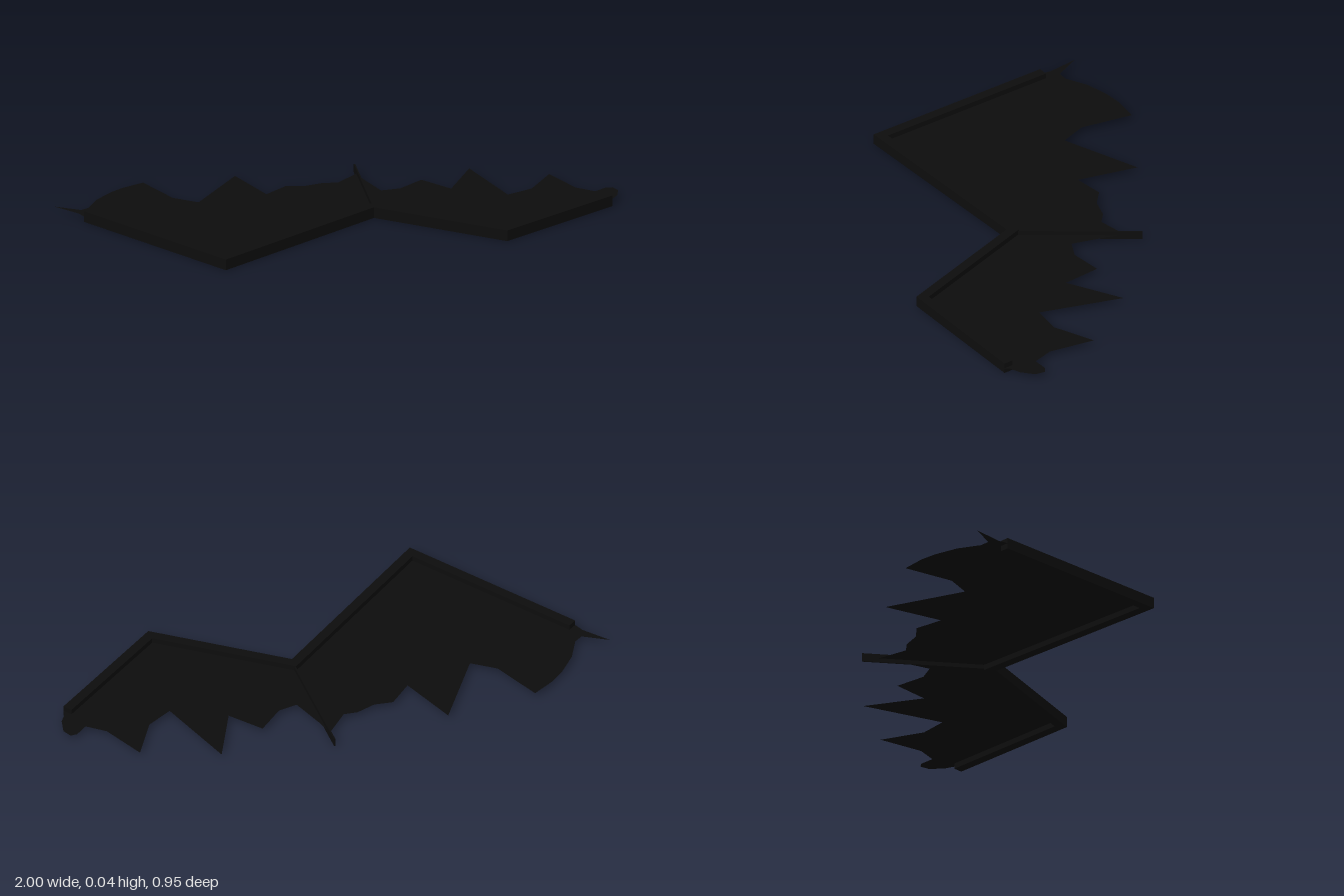
import * as THREE from 'three';

const HEIGHT = 0.04, RAIL = 0.035;

const toShape = (pts) => new THREE.Shape(pts.map(([x, z]) => new THREE.Vector2(x, z)));

// Offset an open x,z path to its back side with mitred corners
function offsetPath(path, d) {
  const normals = path.slice(1).map(([x, z], i) => {
    const dx = x - path[i][0], dz = z - path[i][1], l = Math.hypot(dx, dz);
    return [dz / l, -dx / l];
  });
  return path.map(([x, z], i) => {
    const a = normals[Math.max(i - 1, 0)], b = normals[Math.min(i, normals.length - 1)];
    const k = d / (1 + a[0] * b[0] + a[1] * b[1]);
    return [x + (a[0] + b[0]) * k, z + (a[1] + b[1]) * k];
  });
}

export function createModel() {
  const group = new THREE.Group();
  const black = new THREE.MeshStandardMaterial({ color: 0x0d0d0d, side: THREE.DoubleSide });
  black.name = 'black';

  const add = (name, geometry) => {
    const mesh = new THREE.Mesh(geometry, black);
    mesh.name = name;
    group.add(mesh);
    return mesh;
  };

  // Zigzag front rail
  const front = [[-0.91, -0.11], [-0.49, 0.475], [0.11, 0], [0.54, 0.315], [0.963, 0]];
  const railShape = toShape([...front, ...offsetPath(front, RAIL).reverse()]);
  const rail = new THREE.ExtrudeGeometry(railShape, { depth: HEIGHT, bevelEnabled: false });
  rail.rotateX(Math.PI / 2).translate(0, HEIGHT, 0);
  add('frontRail', rail);

  // Thin torn sheets behind the rail
  const sheets = {
    rightSheet: [
      [0.11, 0], [-0.49, 0.475], [-0.91, -0.11], [-0.925, -0.145], [-1, -0.232], [-0.91, -0.18],
      [-0.88, -0.2], [-0.84, -0.28], [-0.78, -0.35], [-0.73, -0.392], [-0.65, -0.437],
      [-0.57, -0.26], [-0.487, -0.2], [-0.318, -0.46], [-0.237, -0.25], [-0.158, -0.325],
      [-0.09, -0.317], [-0.02, -0.34], [0.03, -0.335], [0.11, -0.42]],
    leftSheet: [
      [0.11, 0], [0.11, -0.42], [0.125, -0.36], [0.17, -0.23], [0.24, -0.242], [0.328, -0.322],
      [0.418, -0.213], [0.513, -0.417], [0.607, -0.12], [0.7, -0.172], [0.783, -0.315],
      [0.855, -0.16], [0.917, -0.11], [0.96, -0.143], [0.985, -0.143], [1, -0.11],
      [0.988, -0.055], [0.965, -0.02], [0.963, 0], [0.54, 0.315]],
  };
  for (const [name, outline] of Object.entries(sheets)) {
    const geometry = new THREE.ShapeGeometry(toShape(outline));
    geometry.rotateX(Math.PI / 2).translate(0, HEIGHT / 2, 0);
    add(name, geometry);
  }

  // Upright blade between the two sheets
  add('centreBlade', new THREE.BoxGeometry(0.005, 0.031, 0.47)).position.set(0.112, 0.0205, -0.245);

  return group;
}
